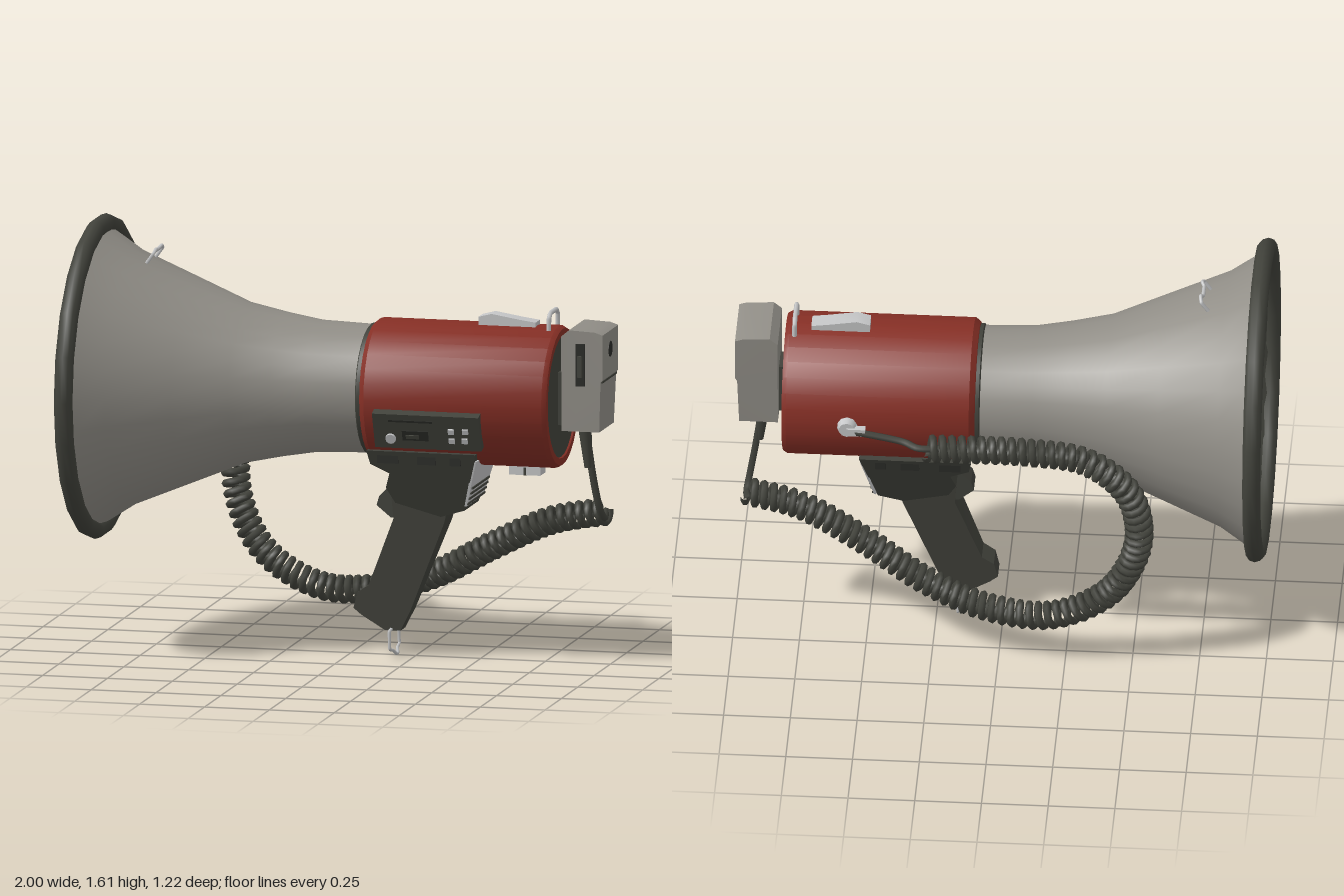
import * as THREE from 'three';
import { toCreasedNormals } from 'three/addons/utils/BufferGeometryUtils.js';

const V = (x, y, z) => new THREE.Vector3(x, y, z);
const AXIS = 1.01; // height of the horn axis

function material(name, color) {
  const m = new THREE.MeshStandardMaterial({ color });
  m.name = name;
  return m;
}

export function createModel() {
  const root = new THREE.Group();
  root.name = 'megaphone';
  const grey = material('warm grey', 0x918e87);
  const red = material('red', 0x862f25);
  const dark = material('dark grey', 0x41423b);
  const black = material('near black', 0x2a2b27);
  const light = material('light grey', 0xc4c5c6);

  const add = (name, geo, mat, x = 0, y = 0, z = 0, parent = root) => {
    const m = new THREE.Mesh(geo, mat);
    m.name = name;
    m.position.set(x, y, z);
    parent.add(m);
    return m;
  };
  const box = (name, w, h, d, mat, x, y, z, parent) =>
    add(name, new THREE.BoxGeometry(w, h, d), mat, x, y, z, parent);
  // Surface turned around the horn axis; profile entries are [x, radius]
  const turned = (name, profile, mat, sides = 28) => {
    const pts = profile.map(([x, r]) => new THREE.Vector2(r, x));
    const geo = new THREE.LatheGeometry(pts, sides).rotateZ(-Math.PI / 2);
    return add(name, toCreasedNormals(geo, 0.55), mat, 0, AXIS, 0);
  };
  // Side outline extruded across z, with a half width that depends on height
  const tapered = (name, outline, halfWidth, mat) => {
    const shape = new THREE.Shape(outline.map(([x, y]) => new THREE.Vector2(x, y)));
    const geo = new THREE.ExtrudeGeometry(shape, { depth: 2, bevelEnabled: false });
    geo.translate(0, 0, -1);
    const p = geo.attributes.position;
    for (let i = 0; i < p.count; i++) p.setZ(i, p.getZ(i) * halfWidth(p.getY(i)));
    return add(name, toCreasedNormals(geo, 0.5), mat);
  };
  const wire = (name, pts, r, mat, tension = 0.15) => {
    const curve = new THREE.CatmullRomCurve3(pts, false, 'catmullrom', tension);
    return add(name, new THREE.TubeGeometry(curve, pts.length * 8, r, 6), mat);
  };
  const ramp = (y, y0, w0, y1, w1) => THREE.MathUtils.mapLinear(y, y0, y1, w0, w1);

  // Horn bell, outside and inside
  const bell = [[-0.965, 0.565], [-0.93, 0.545], [-0.83, 0.48], [-0.6, 0.385], [-0.4, 0.302],
    [-0.25, 0.27], [-0.12, 0.248], [0.1, 0.24]];
  turned('hornOutside', bell, grey);
  turned('hornInside', bell.map(([x, r]) => [x, r - 0.012]).reverse(), dark);
  turned('hornThroat', [[0.06, 0.235], [0.06, 0]].reverse(), dark);
  const rim = new THREE.TorusGeometry(0.575, 0.035, 10, 22).rotateY(Math.PI / 2);
  add('hornRim', rim, dark, -0.965, AXIS, 0);

  // Driver inside the bell
  turned('driver', [[-0.82, 0], [-0.82, 0.115], [-0.79, 0.125], [-0.77, 0.105], [-0.62, 0.095],
    [-0.6, 0.06], [0.06, 0.06]], red, 12);
  for (let i = 0; i < 6; i++) {
    const a = (i / 6) * Math.PI * 2;
    const rib = box('driverRib', 0.19, 0.03, 0.025, red, -0.71,
      AXIS + Math.cos(a) * 0.115, Math.sin(a) * 0.115);
    rib.rotation.x = a;
  }

  // Body housing with its recessed back
  turned('neckCollar', [[0.075, 0.24], [0.08, 0.247], [0.1, 0.247]], dark);
  turned('body', [[0.09, 0.235], [0.095, 0.252], [0.115, 0.268], [0.8, 0.268], [0.817, 0.258],
    [0.817, 0.232], [0.805, 0.228]], red);
  turned('bodyBack', [[0.81, 0.233], [0.81, 0]], dark);

  // Control panel on the front of the body
  const panel = new THREE.Group();
  panel.name = 'controlPanel';
  panel.position.set(0.36, 0.908, 0.25);
  panel.rotation.x = 0.36;
  root.add(panel);
  box('panelPlate', 0.41, 0.145, 0.045, dark, 0, 0, 0, panel);
  const knob = new THREE.CylinderGeometry(0.02, 0.02, 0.012, 12).rotateX(Math.PI / 2);
  add('volumeKnob', knob, light, -0.14, -0.03, 0.026, panel);
  box('sliderSlot', 0.1, 0.04, 0.006, black, -0.045, -0.015, 0.024, panel);
  box('slider', 0.05, 0.014, 0.01, dark, -0.055, -0.018, 0.027, panel);
  box('panelStrip', 0.17, 0.008, 0.004, black, -0.06, 0.045, 0.023, panel);
  for (const [x, y] of [[0.095, 0.01], [0.15, 0.012], [0.095, -0.03], [0.145, -0.028]])
    box('panelButton', 0.022, 0.02, 0.01, light, x, y, 0.026, panel);

  // Bracket under the body, with a pale ribbed rear plate
  const bracketWidth = y => ramp(y, 0.8, 0.2, 0.56, 0.1);
  tapered('bracket', [[0.11, 0.81], [0.12, 0.755], [0.19, 0.72], [0.17, 0.66], [0.2, 0.6],
    [0.37, 0.55], [0.465, 0.58], [0.53, 0.81]], bracketWidth, dark);
  tapered('bracketRearPlate', [[0.515, 0.78], [0.47, 0.6], [0.478, 0.6], [0.528, 0.78]],
    y => ramp(y, 0.78, 0.18, 0.6, 0.13), light);
  for (let i = 0; i < 4; i++)
    box('rearRib', 0.012, 0.008, 0.26, dark, 0.479 + i * 0.006, 0.61 + i * 0.02, 0);
  for (const s of [-1, 1])
    for (const [x, w] of [[0.19, 0.08], [0.34, 0.07], [0.45, 0.04]])
      box('bracketCatch', w, 0.03, 0.012, black, x, 0.778, s * 0.191);

  // Pistol grip and trigger
  tapered('grip', [[0.17, 0.66], [0.18, 0.53], [0.08, 0.27], [0.035, 0.24], [0.02, 0.18],
    [0.05, 0.155], [0.14, 0.1], [0.2, 0.1], [0.24, 0.18], [0.375, 0.52], [0.4, 0.62]],
    y => ramp(y, 0.1, 0.036, 0.6, 0.07), dark);
  tapered('trigger', [[0.19, 0.68], [0.12, 0.61], [0.11, 0.575], [0.165, 0.53], [0.21, 0.53]],
    () => 0.045, dark);

  // Strap loops
  const loop = (name, pts, r = 0.007) => {
    const mirrored = pts.slice().reverse().map(([x, y, z]) => V(x, y, -z));
    wire(name, [...pts.map(p => V(...p)), ...mirrored], r, light);
  };
  loop('gripStrapLoop', [[0.165, 0.105, 0.03], [0.165, 0.1, 0.07], [0.168, 0.035, 0.073],
    [0.17, 0.025, 0.035], [0.178, 0.008, 0.01]], 0.006);
  loop('hornStrapLoop', [[-0.77, 1.46, 0.07], [-0.745, 1.495, 0.07], [-0.74, 1.51, 0.045],
    [-0.748, 1.5, 0.03]]);
  loop('bodyStrapLoop', [[0.78, 1.27, 0.07], [0.78, 1.315, 0.066], [0.78, 1.333, 0.045]], 0.009);

  // Switch on top and catch beneath the body
  tapered('topSwitch', [[0.5, 1.26], [0.72, 1.26], [0.72, 1.292], [0.66, 1.3], [0.55, 1.318],
    [0.5, 1.305]], () => 0.033, light);
  box('underCatch', 0.12, 0.045, 0.08, light, 0.68, 0.735, 0);
  box('underCatchSlot', 0.008, 0.03, 0.084, dark, 0.68, 0.726, 0);

  // Hand microphone
  box('microphoneClip', 0.05, 0.2, 0.1, dark, 0.825, 1.01, 0);
  tapered('microphone', [[0.84, 0.9], [0.985, 0.9], [0.992, 1.09], [1, 1.1], [1, 1.27],
    [0.97, 1.28], [0.87, 1.285], [0.84, 1.26]],
    y => (y < 1.08 ? 0.112 : 0.12), grey);
  box('microphoneSeam', 0.008, 0.008, 0.22, dark, 0.993, 1.09, 0);
  const grille = new THREE.CylinderGeometry(0.03, 0.03, 0.006, 14).rotateZ(Math.PI / 2);
  add('microphoneGrille', grille, black, 0.998, 1.2, 0);
  box('talkButtonFrame', 0.035, 0.16, 0.016, black, 0.915, 1.155, 0.12);
  box('talkButton', 0.018, 0.08, 0.03, dark, 0.915, 1.15, 0.125);

  // Straight cord leaving the microphone
  const relief = add('cordStrainRelief', new THREE.CylinderGeometry(0.026, 0.016, 0.17, 10), dark,
    0.908, 0.83, 0);
  relief.rotation.z = 0.1;
  wire('cordFromMicrophone', [V(0.905, 0.9, 0), V(0.93, 0.72, -0.005), V(0.95, 0.6, -0.02),
    V(0.96, 0.545, -0.06), V(0.95, 0.56, -0.13)], 0.014, dark, 0.5);

  // Coiled cord: a helix wound around a smooth path
  const path = new THREE.CatmullRomCurve3([V(0.96, 0.565, -0.09), V(0.75, 0.52, -0.11),
    V(0.5, 0.4, -0.16), V(0.28, 0.28, -0.22), V(0.05, 0.205, -0.27), V(-0.2, 0.2, -0.3),
    V(-0.42, 0.33, -0.31), V(-0.525, 0.57, -0.33), V(-0.49, 0.8, -0.345), V(-0.33, 0.94, -0.345),
    V(-0.1, 0.97, -0.34), V(0.27, 0.97, -0.34)]);
  const turns = Math.round(path.getLength() / 0.037), steps = turns * 12;
  const frames = path.computeFrenetFrames(steps);
  const helix = [];
  for (let i = 0; i <= steps; i++) {
    const a = (i / 12) * Math.PI * 2;
    helix.push(path.getPointAt(i / steps)
      .addScaledVector(frames.normals[i], Math.cos(a) * 0.042)
      .addScaledVector(frames.binormals[i], Math.sin(a) * 0.042));
  }
  const coil = new THREE.CatmullRomCurve3(helix);
  coil.arcLengthDivisions = steps * 2;
  add('coiledCord', new THREE.TubeGeometry(coil, steps, 0.0145, 6), dark);

  // Cord end and plug on the back of the body
  wire('cordToPlug', [V(0.22, 0.97, -0.34), V(0.3, 0.97, -0.34), V(0.37, 0.975, -0.305),
    V(0.56, 1, -0.288)], 0.014, dark, 0.5);
  const plug = new THREE.CylinderGeometry(0.042, 0.03, 0.035, 10).rotateX(Math.PI / 2);
  add('plug', plug, light, 0.57, 1.005, -0.275);
  box('plugSleeve', 0.07, 0.03, 0.028, light, 0.535, 1, -0.288);
  return root;
}
